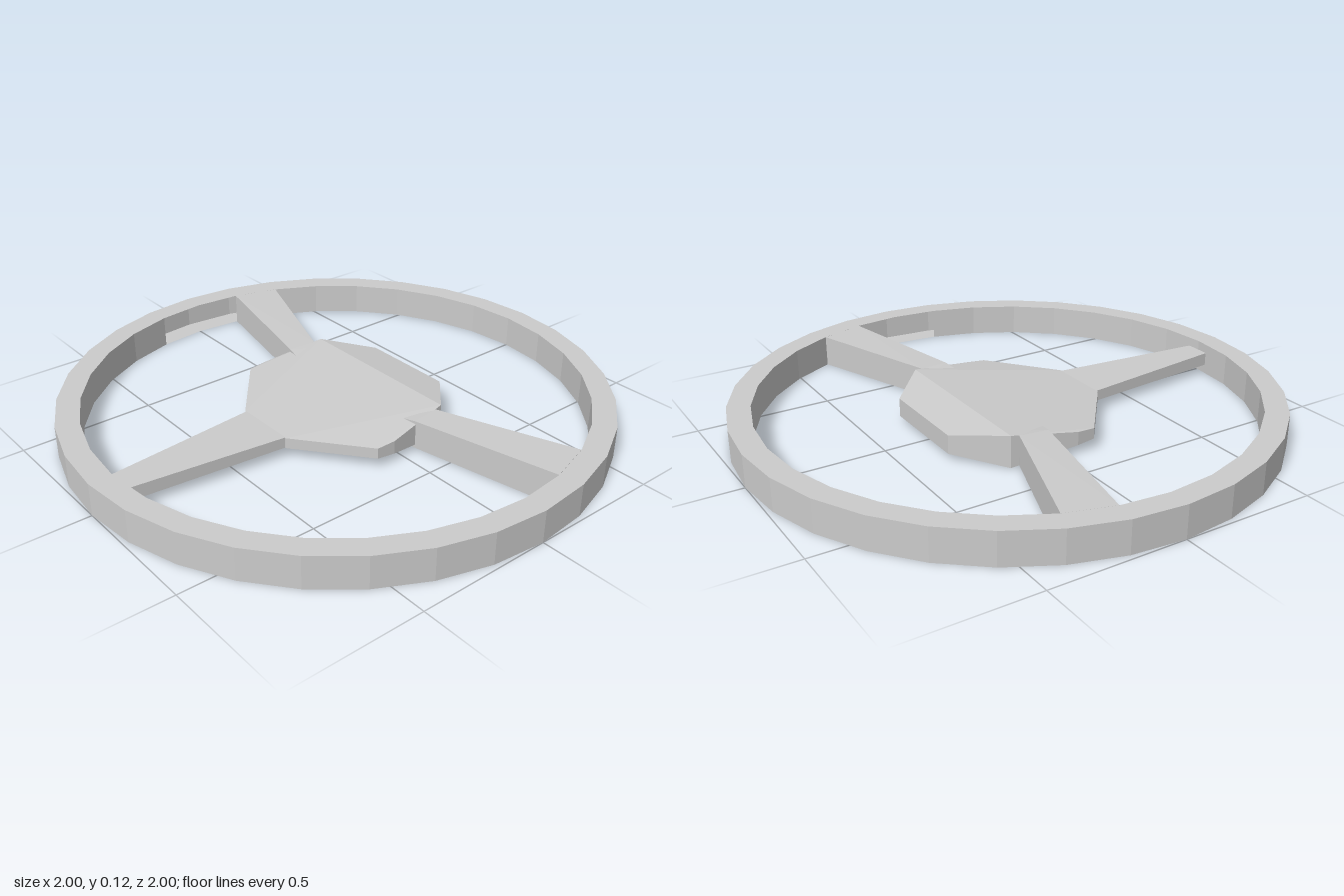
import * as THREE from 'three';
import { ConvexGeometry } from 'three/addons/geometries/ConvexGeometry.js';

const H = 0.12, MID = H / 2, SIDES = 32, R_OUT = 1, R_IN = 0.915;
const grey = new THREE.MeshStandardMaterial({ color: 0xcccccc, flatShading: true });
const greyOpen = new THREE.MeshStandardMaterial({ color: 0xcccccc, flatShading: true, side: THREE.DoubleSide });

// Rim of square section; the inner wall is left open beside the side spokes
function rimGeometry() {
  const pos = [];
  const point = (r, i, y) => {
    const a = (i / SIDES) * Math.PI * 2;
    return [r * Math.cos(a), y, r * Math.sin(a)];
  };
  const quad = (a, b, c, d) => pos.push(...a, ...b, ...c, ...a, ...c, ...d);
  for (let i = 0; i < SIDES; i++) {
    const j = i + 1;
    const open = [0, SIDES - 1, SIDES / 2 - 1, SIDES / 2].includes(i);
    quad(point(R_OUT, i, 0), point(R_OUT, i, H), point(R_OUT, j, H), point(R_OUT, j, 0));
    quad(point(R_IN, i, H), point(R_IN, j, H), point(R_OUT, j, H), point(R_OUT, i, H));
    quad(point(R_IN, i, 0), point(R_OUT, i, 0), point(R_OUT, j, 0), point(R_IN, j, 0));
    if (!open) quad(point(R_IN, i, 0), point(R_IN, j, 0), point(R_IN, j, H), point(R_IN, i, H));
  }
  const g = new THREE.BufferGeometry();
  g.setAttribute('position', new THREE.Float32BufferAttribute(pos, 3));
  g.computeVertexNormals();
  return g;
}

// Convex slab from [x, z, half thickness] corners, mirrored about mid height
function slab(corners) {
  const pts = corners.flatMap(([x, z, t]) => [
    new THREE.Vector3(x, MID + t, z),
    new THREE.Vector3(x, MID - t, z),
  ]);
  return new ConvexGeometry(pts);
}

const mirrorX = (corners) => corners.map(([x, z, t]) => [-x, z, t]);

export function createModel() {
  const group = new THREE.Group();
  const add = (name, geometry, material = grey) => {
    const mesh = new THREE.Mesh(geometry, material);
    mesh.name = name;
    group.add(mesh);
  };

  add('rim', rimGeometry(), greyOpen);

  // Hub: thickest along the crease, thinner toward front and back
  const halfHub = [
    [0.18, -0.35, 0.035],
    [0.34, -0.2, 0.06],
    [0.375, 0.05, 0.025],
    [0.37, 0.12, 0.02],
    [0.12, 0.32, 0.02],
  ];
  add('hub', slab([...halfHub, ...mirrorX(halfHub)]));

  // Side spokes, each filling one segment of the rim
  const sideSpoke = [
    [0.845, -0.35, 0.06],
    [0.897, -0.178, 0.06],
    [0.355, -0.06, 0.053],
    [0.345, -0.17, 0.055],
    [0.3, -0.15, 0.05],
    [0.3, -0.05, 0.045],
  ];
  add('leftSpoke', slab(sideSpoke));
  add('rightSpoke', slab(mirrorX(sideSpoke)));

  // Front spoke, thin and tapering toward the rim
  const halfFront = [
    [0.117, 0.3, 0.02],
    [0.05, 0.912, 0.025],
  ];
  add('frontSpoke', slab([...halfFront, ...mirrorX(halfFront)]));

  return group;
}
